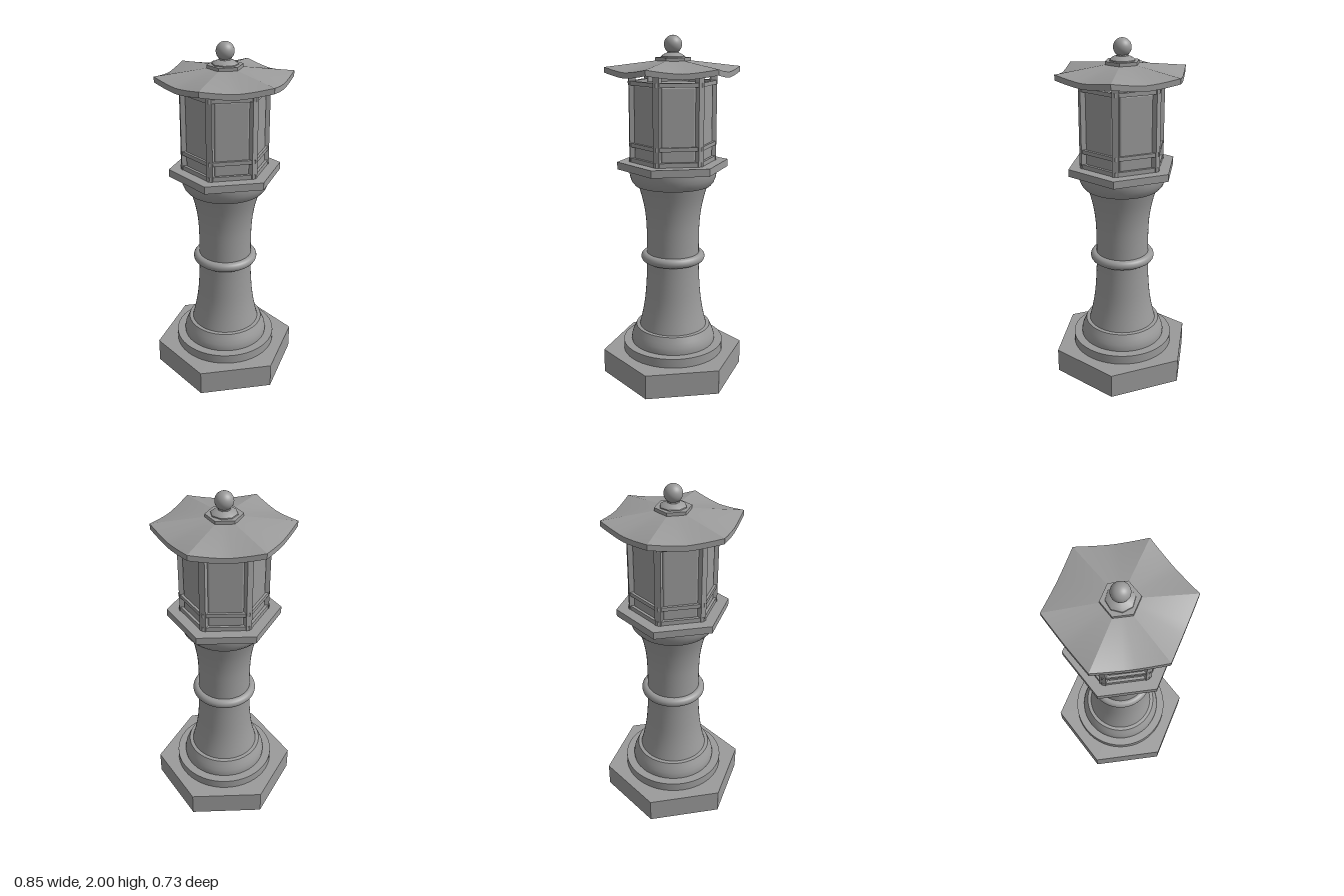
import * as THREE from 'three';
import { toCreasedNormals, mergeGeometries } from 'three/addons/utils/BufferGeometryUtils.js';
import { RoundedBoxGeometry } from 'three/addons/geometries/RoundedBoxGeometry.js';
import { ParametricGeometry } from 'three/addons/geometries/ParametricGeometry.js';

export function createModel() {
  const root = new THREE.Group();
  const stone = 0x9a9a9a;
  const smooth = new THREE.MeshStandardMaterial({ color: stone });
  const flat = new THREE.MeshStandardMaterial({ color: stone, flatShading: true });

  const add = (name, geometry, material = smooth, parent = root) => {
    const mesh = new THREE.Mesh(geometry, material);
    mesh.name = name;
    parent.add(mesh);
    return mesh;
  };

  // Hexagonal slab with two corners on the x axis
  const hexSlab = (name, radius, y0, y1) => {
    const g = new THREE.CylinderGeometry(radius, radius, y1 - y0, 6);
    g.rotateY(Math.PI / 6).translate(0, (y0 + y1) / 2, 0);
    return add(name, g, flat);
  };

  // Turned part from [radius, height] pairs, listed from the bottom up
  const turned = (name, pairs, segments = 48) => {
    const points = pairs.map(([r, y]) => new THREE.Vector2(r, y));
    return add(name, toCreasedNormals(new THREE.LatheGeometry(points, segments), 0.6));
  };

  // Repeat a part around the six sides or corners
  const around = (name, makeGeometry) => {
    const group = new THREE.Group();
    group.name = name + 's';
    root.add(group);
    for (let i = 0; i < 6; i++) {
      add(name, makeGeometry(), smooth, group).rotation.y = i * Math.PI / 3;
    }
  };

  // Foot
  hexSlab('base', 0.423, 0, 0.145);
  turned('baseStep', [[0, 0.14], [0.3, 0.14], [0.3, 0.2], [0, 0.2]]);
  turned('lowerMoulding', [
    [0.25, 0.19], [0.252, 0.215], [0.247, 0.24], [0.237, 0.265], [0.222, 0.298], [0.19, 0.3],
  ]);

  // Waisted column with a ring round its middle
  const waist = new THREE.SplineCurve([
    [0.203, 0.29], [0.18, 0.39], [0.165, 0.49], [0.156, 0.62], [0.154, 0.73],
    [0.154, 0.87], [0.159, 0.97], [0.175, 1.07], [0.205, 1.18],
  ].map(([r, y]) => new THREE.Vector2(r, y)));
  add('column', new THREE.LatheGeometry(waist.getPoints(32), 48));
  const ring = new THREE.TorusGeometry(0.16, 0.028, 16, 48);
  ring.rotateX(Math.PI / 2).translate(0, 0.73, 0);
  add('columnRing', ring);

  // Capital and lantern floor
  turned('capital', [
    [0.18, 1.165], [0.22, 1.165], [0.236, 1.185], [0.246, 1.21], [0.251, 1.235], [0.252, 1.262],
  ]);
  hexSlab('lanternFloor', 0.32, 1.26, 1.302);

  // Lantern: inner body, panels, corner posts and rails
  hexSlab('lanternBody', 0.218, 1.29, 1.735);
  around('panel', () => new RoundedBoxGeometry(0.19, 0.415, 0.03, 3, 0.012).translate(0, 1.528, 0.19));
  around('post', () => new THREE.BoxGeometry(0.036, 0.53, 0.036).translate(0.23, 1.555, 0));
  for (const [name, y, height] of [['bottomRail', 1.313, 0.028], ['lowerRail', 1.4, 0.022], ['topRail', 1.743, 0.022]]) {
    around(name, () => new THREE.BoxGeometry(0.25, height, 0.024).translate(0, y, 0.207));
  }

  // Roof: six sectors whose eaves sag between raised corners
  const roofPoint = (side, u, v, drop, target) => {
    const a = side * Math.PI / 3, b = a + Math.PI / 3;
    const r = THREE.MathUtils.lerp(0.02, 0.38, v);
    const sag = 0.022 * (1 - Math.abs(2 * u - 1) ** 1.5) * v * v;
    target.set(
      r * THREE.MathUtils.lerp(Math.cos(a), Math.cos(b), u),
      1.872 - 0.042 * v - sag - drop,
      r * THREE.MathUtils.lerp(Math.sin(a), Math.sin(b), u),
    );
  };
  const thickness = 0.03;
  const sectors = [];
  for (let i = 0; i < 6; i++) {
    sectors.push(
      new ParametricGeometry((u, v, t) => roofPoint(i, u, v, 0, t), 12, 8),
      new ParametricGeometry((u, v, t) => roofPoint(i, 1 - u, v, thickness, t), 12, 8),
      new ParametricGeometry((u, v, t) => roofPoint(i, u, 1, v * thickness, t), 12, 1),
    );
  }
  add('roof', mergeGeometries(sectors));

  // Finial
  hexSlab('finialPlate', 0.1, 1.835, 1.88);
  turned('finialNeck', [[0.075, 1.875], [0.072, 1.885], [0.055, 1.897], [0.035, 1.905], [0.03, 1.92]], 8);
  add('finialBall', new THREE.SphereGeometry(0.05, 32, 20).translate(0, 1.95, 0));

  return root;
}
